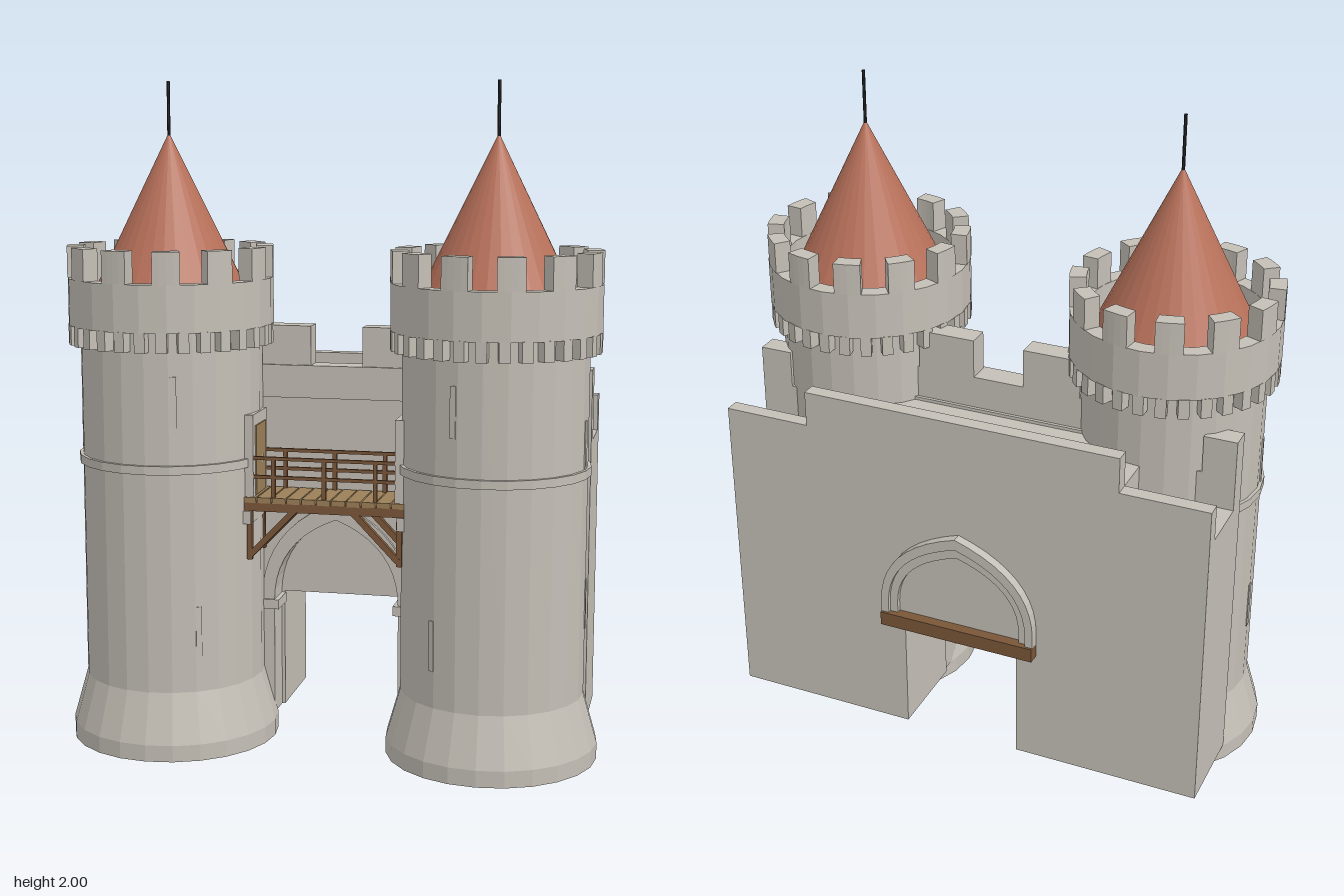
import * as THREE from 'three';

const mat = (color) => new THREE.MeshStandardMaterial({ color, flatShading: true });
const STONE = mat(0xc4bfb6), ROOF = mat(0xb8715a), WOOD = mat(0x7a5638), PLANK = mat(0x9c8058), IRON = mat(0x2c2c2c);

function add(parent, name, geo, material = STONE) {
  const m = new THREE.Mesh(geo, material);
  m.name = name;
  parent.add(m);
  return m;
}

// Box given by its min and max on each axis
function block(parent, name, x0, x1, y0, y1, z0, z1, material) {
  const m = add(parent, name, new THREE.BoxGeometry(x1 - x0, y1 - y0, z1 - z0), material);
  m.position.set((x0 + x1) / 2, (y0 + y1) / 2, (z0 + z1) / 2);
  return m;
}

// Square beam between two points
function beam(parent, name, a, b, t, material = WOOD) {
  const p = new THREE.Vector3(...a), q = new THREE.Vector3(...b);
  const m = add(parent, name, new THREE.BoxGeometry(t, t, p.distanceTo(q)), material);
  m.position.copy(p).add(q).multiplyScalar(0.5);
  m.lookAt(q);
  return m;
}

const lathe = (pts, n) => new THREE.LatheGeometry(pts.map(([x, y]) => new THREE.Vector2(x, y)), n);

// Pointed arch outline: half width w, foot y0, spring ys, apex yt
function archPath(w, y0, ys, yt, Type = THREE.Shape) {
  const p = new Type(), c = ys + (yt - ys) * 0.72;
  p.moveTo(-w, y0);
  p.lineTo(-w, ys);
  p.quadraticCurveTo(-w, c, 0, yt);
  p.quadraticCurveTo(w, c, w, ys);
  p.lineTo(w, y0);
  p.closePath();
  return p;
}

// Arched band open at its foot
function archBand(wo, wi, y0, ys, yo, yi, depth) {
  const s = new THREE.Shape(), co = ys + (yo - ys) * 0.72, ci = ys + (yi - ys) * 0.72;
  s.moveTo(-wo, y0);
  s.lineTo(-wo, ys);
  s.quadraticCurveTo(-wo, co, 0, yo);
  s.quadraticCurveTo(wo, co, wo, ys);
  s.lineTo(wo, y0);
  s.lineTo(wi, y0);
  s.lineTo(wi, ys);
  s.quadraticCurveTo(wi, ci, 0, yi);
  s.quadraticCurveTo(-wi, ci, -wi, ys);
  s.lineTo(-wi, y0);
  s.closePath();
  return new THREE.ExtrudeGeometry(s, { depth, bevelEnabled: false, curveSegments: 10 });
}

function tower(side) {
  const g = new THREE.Group();
  g.name = side > 0 ? 'leftTower' : 'rightTower';
  g.position.set(side * 0.495, 0, 0.08);

  // Flared foot, shaft and overhanging parapet
  add(g, 'shaft', lathe([[0, 0], [0.318, 0], [0.318, 0.05], [0.275, 0.2], [0.275, 1.28], [0.31, 1.28],
    [0.31, 1.42], [0.26, 1.42], [0.26, 1.32], [0, 1.32]], 24));
  add(g, 'band', lathe([[0.27, 0.862], [0.285, 0.862], [0.285, 0.888], [0.27, 0.888]], 24));

  // Corbels
  for (let i = 0; i < 30; i++) {
    const a = (i / 30) * Math.PI * 2;
    const c = add(g, 'corbel', new THREE.BoxGeometry(0.032, 0.06, 0.05));
    c.position.set(Math.sin(a) * 0.284, 1.252, Math.cos(a) * 0.284);
    c.rotation.y = a;
  }

  // Merlons as ring sectors
  const step = Math.PI / 6;
  const sector = new THREE.Shape();
  sector.absarc(0, 0, 0.31, -step / 4, step / 4, false);
  sector.absarc(0, 0, 0.26, step / 4, -step / 4, true);
  const merlon = new THREE.ExtrudeGeometry(sector, { depth: 0.095, bevelEnabled: false, curveSegments: 2 });
  merlon.rotateX(-Math.PI / 2);
  for (let i = 0; i < 12; i++) {
    const m = add(g, 'merlon', merlon);
    m.position.y = 1.42;
    m.rotation.y = (i + 0.5) * step;
  }

  // Roof and spike
  add(g, 'roof', new THREE.ConeGeometry(0.26, 0.53, 32), ROOF).position.y = 1.585;
  add(g, 'spike', new THREE.CylinderGeometry(0.005, 0.005, 0.17, 8), IRON).position.y = 1.915;

  // Arrow slits: angle from the front toward the gate, and height
  for (const [deg, y] of [[18, 1.075], [32, 0.385], [-90, 0.475], [-80, 0.955]]) {
    const a = THREE.MathUtils.degToRad(-side * deg);
    const s = add(g, 'arrowSlit', new THREE.BoxGeometry(0.018, 0.15, 0.02));
    s.position.set(Math.sin(a) * 0.267, y, Math.cos(a) * 0.267);
    s.rotation.y = a;
  }
  return g;
}

function gatehouse() {
  const g = new THREE.Group();
  g.name = 'gatehouse';

  // Rear mass around the passage
  for (const s of [-1, 1]) {
    const span = (name, a, b, ...r) => block(g, name, Math.min(s * a, s * b), Math.max(s * a, s * b), ...r);
    span('gateSide', 0.185, 0.495, 0.05, 1.04, -0.36, -0.08);
    span('wing', 0.495, 0.765, 0.05, 0.93, -0.36, -0.08);
    span('wingRearParapet', 0.495, 0.765, 0.93, 1.04, -0.36, -0.315);
    span('wingFrontParapet', 0.495, 0.765, 0.93, 1.035, -0.145, -0.08);
    span('wingMerlon', 0.665, 0.765, 1.035, 1.15, -0.145, -0.08);
    span('frontMerlon', 0.08, 0.26, 1.15, 1.27, -0.07, 0);
    span('impost', 0.18, 0.25, 0.385, 0.415, -0.08, 0.02);
    // Doorway from tower to bridge
    span('doorFrame', 0.215, 0.25, 0.77, 1.02, 0.02, 0.18);
    span('doorSill', 0.222, 0.255, 0.69, 0.73, 0.0, 0.19);
    span('door', 0.211, 0.23, 0.775, 0.985, 0.045, 0.155, PLANK);
  }
  block(g, 'gateTop', -0.185, 0.185, 0.42, 1.04, -0.36, -0.08);
  block(g, 'rearParapet', -0.495, 0.495, 1.04, 1.15, -0.36, -0.315);
  block(g, 'frontParapet', -0.27, 0.27, 1.05, 1.15, -0.07, 0.008);

  // Front wall with pointed gateway
  const wall = new THREE.Shape();
  const w = 0.195, spring = 0.41, apex = 0.675, c = spring + (apex - spring) * 0.72;
  wall.moveTo(-0.3, 0.05);
  wall.lineTo(-w, 0.05);
  wall.lineTo(-w, spring);
  wall.quadraticCurveTo(-w, c, 0, apex);
  wall.quadraticCurveTo(w, c, w, spring);
  wall.lineTo(w, 0.05);
  wall.lineTo(0.3, 0.05);
  wall.lineTo(0.3, 1.05);
  wall.lineTo(-0.3, 1.05);
  wall.closePath();
  const front = new THREE.ExtrudeGeometry(wall, { depth: 0.08, bevelEnabled: false, curveSegments: 10 });
  add(g, 'frontWall', front).position.z = -0.08;
  add(g, 'frontArch', archBand(0.235, w, 0.05, spring, 0.73, apex, 0.012));

  // Rear blind arch on its timber lintel
  add(g, 'rearArchOuter', archBand(0.25, 0.225, 0.46, 0.5, 0.78, 0.745, 0.03)).position.z = -0.39;
  add(g, 'rearArchInner', archBand(0.225, 0.2, 0.46, 0.5, 0.745, 0.71, 0.018)).position.z = -0.378;
  const fill = new THREE.ExtrudeGeometry(archPath(0.2, 0.46, 0.5, 0.71), { depth: 0.005, bevelEnabled: false });
  add(g, 'rearTympanum', fill).position.z = -0.364;
  block(g, 'lintel', -0.25, 0.25, 0.42, 0.465, -0.397, -0.355, WOOD);
  return g;
}

function bridge() {
  const g = new THREE.Group();
  g.name = 'bridge';
  const n = 11, pitch = 0.5 / n;
  for (let i = 0; i < n; i++) {
    const x = -0.25 + i * pitch;
    block(g, 'plank', x + 0.002, x + pitch - 0.002, 0.755, 0.772, 0.01, 0.185, PLANK);
  }
  for (const z of [0.022, 0.172]) {
    block(g, 'joist', -0.25, 0.25, 0.73, 0.757, z - 0.013, z + 0.013, WOOD);
    for (const y of [0.833, 0.89]) beam(g, 'rail', [-0.24, y, z], [0.24, y, z], 0.01);
    for (const x of [-0.235, -0.155, 0, 0.155, 0.235]) beam(g, 'railPost', [x, 0.77, z], [x, 0.89, z], 0.012);
    for (const s of [-1, 1]) {
      beam(g, 'strut', [s * 0.225, 0.595, z], [s * 0.09, 0.735, z], 0.018);
      beam(g, 'strutPost', [s * 0.228, 0.58, z], [s * 0.228, 0.735, z], 0.016);
    }
  }
  return g;
}

export function createModel() {
  const model = new THREE.Group();
  model.name = 'castleGate';
  model.add(tower(1), tower(-1), gatehouse(), bridge());
  return model;
}
